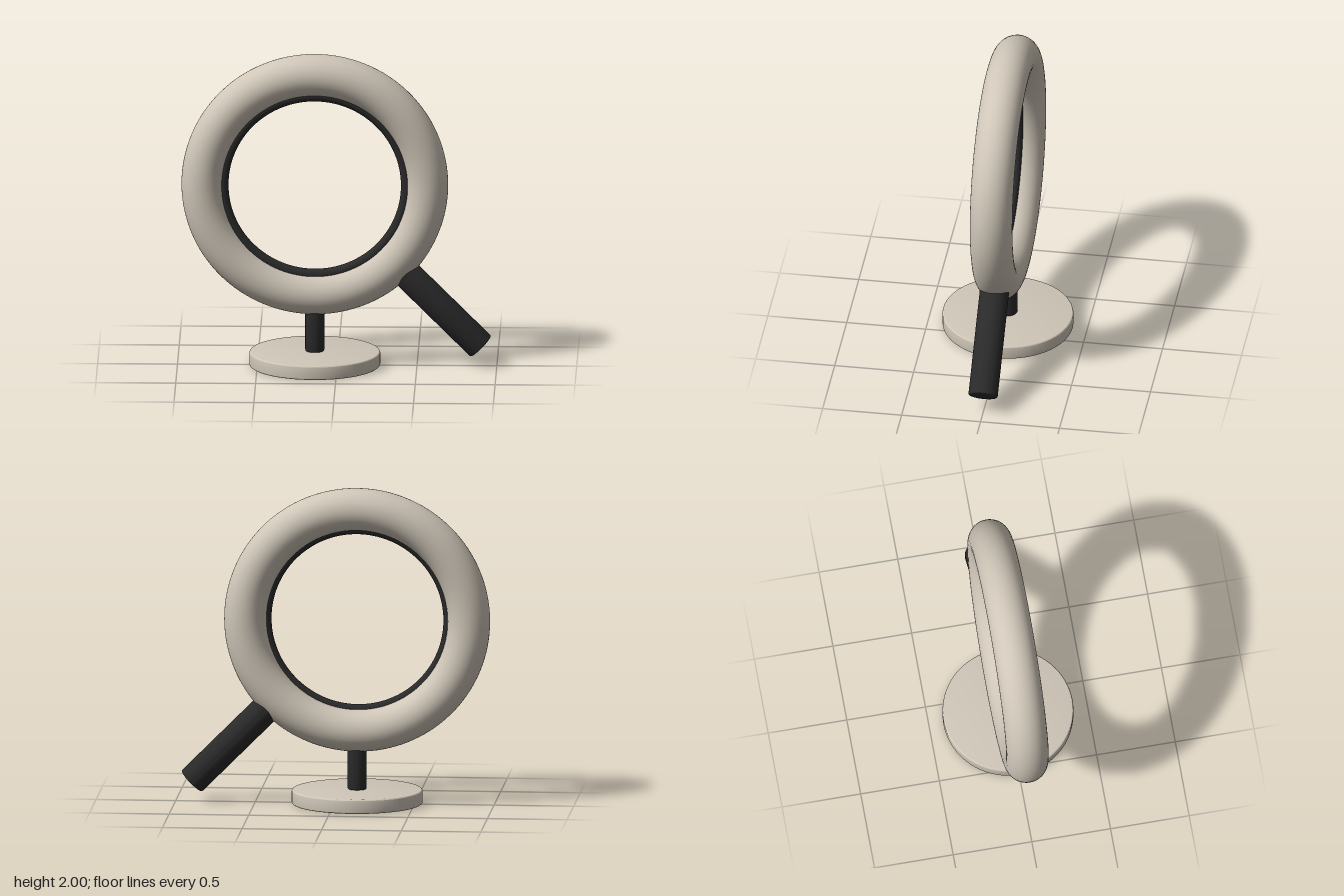
import * as THREE from 'three';
import { toCreasedNormals } from 'three/addons/utils/BufferGeometryUtils.js';

const cream = new THREE.MeshStandardMaterial({ color: 0xcfc6b8 });
const black = new THREE.MeshStandardMaterial({ color: 0x2a2a2a });

const CX = -0.14; // shared axis of ring, post and base
const CY = 1.165; // ring centre height

function add(parent, name, geometry, material, x = 0, y = 0, z = 0) {
  const mesh = new THREE.Mesh(geometry, material);
  mesh.name = name;
  mesh.position.set(x, y, z);
  parent.add(mesh);
  return mesh;
}

// Solid rod or disc standing on y = 0, with small rounded rims
function roundedCylinder(radius, height, bevel) {
  const points = [new THREE.Vector2(0, 0)];
  const steps = 4;
  for (const top of [false, true]) {
    for (let i = 0; i <= steps; i++) {
      const a = (i / steps - (top ? 0 : 1)) * Math.PI / 2;
      points.push(new THREE.Vector2(
        radius - bevel + bevel * Math.cos(a),
        (top ? height - bevel : bevel) + bevel * Math.sin(a)));
    }
  }
  points.push(new THREE.Vector2(0, height));
  return toCreasedNormals(new THREE.LatheGeometry(points, 64), 0.35);
}

export function createModel() {
  const model = new THREE.Group();
  model.name = 'standingMagnifier';

  // Round foot and the short post carrying the ring
  add(model, 'base', roundedCylinder(0.41, 0.09, 0.012), cream, CX, 0, 0);
  add(model, 'post', roundedCylinder(0.06, 0.33, 0.012), black, CX, 0.09, 0);

  // Thick frame with a thin dark rim set slightly forward in its opening
  add(model, 'ringFrame', new THREE.TorusGeometry(0.702, 0.133, 40, 128), cream, CX, CY, 0);
  add(model, 'innerRim', new THREE.TorusGeometry(0.575, 0.035, 20, 128), black, CX, CY, 0.025);

  // Handle leaving the ring radially, down to the side
  const start = 0.74, end = 1.47, d = Math.SQRT1_2;
  const handle = add(model, 'handle', roundedCylinder(0.092, end - start, 0.01), black,
    CX + start * d, CY - start * d, 0);
  handle.rotation.z = -Math.PI * 0.75;

  return model;
}
